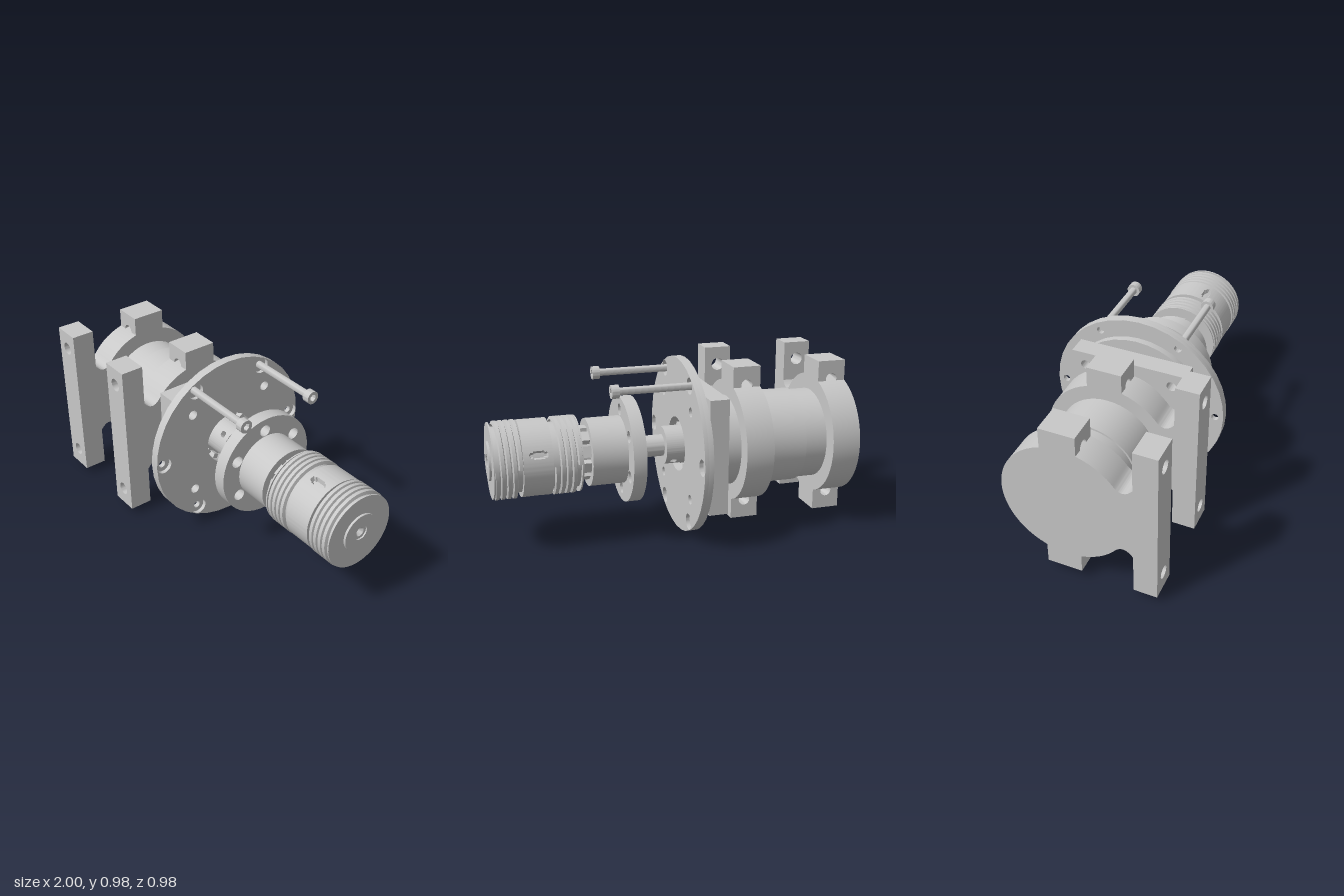
import * as THREE from 'three';
import { toCreasedNormals } from 'three/addons/utils/BufferGeometryUtils.js';

const steel = new THREE.MeshStandardMaterial({ color: 0xc8c8c8, side: THREE.DoubleSide });
steel.name = 'steelGrey';
const AXIS_Y = 0.49;

export function createModel() {
  const model = new THREE.Group();
  model.name = 'spindleDrive';
  // Everything is built around the shaft axis (local y = 0, z = 0)
  const body = new THREE.Group();
  body.name = 'assembly';
  body.position.y = AXIS_Y;
  model.add(body);

  const add = (name, geo, x = 0, y = 0, z = 0) => {
    const m = new THREE.Mesh(toCreasedNormals(geo, 0.6), steel);
    m.name = name;
    m.position.set(x, y, z);
    body.add(m);
    return m;
  };
  // Cylinder along x
  const rod = (name, x0, x1, r, y = 0, z = 0, seg = 48) =>
    add(name, new THREE.CylinderGeometry(r, r, x1 - x0, seg).rotateZ(-Math.PI / 2), (x0 + x1) / 2, y, z);
  // Shape in the (-z, y) plane extruded from x0 to x1
  const plate = (name, shape, x0, x1, y = 0, z = 0, seg = 18) =>
    add(name, new THREE.ExtrudeGeometry(shape, { depth: x1 - x0, bevelEnabled: false, curveSegments: seg })
      .rotateY(Math.PI / 2), x0, y, z);
  const disc = (r) => new THREE.Shape().absarc(0, 0, r, 0, Math.PI * 2);
  const rect = (x0, y0, x1, y1) => new THREE.Shape([[x0, y0], [x1, y0], [x1, y1], [x0, y1]]
    .map(([a, b]) => new THREE.Vector2(a, b)));
  const hole = (shape, u, v, r) => {
    shape.holes.push(new THREE.Path().absarc(u, v, r, 0, Math.PI * 2, true));
    return shape;
  };
  const holeRing = (shape, n, dist, r, start = 0) => {
    for (let i = 0; i < n; i++) {
      const a = start + (i / n) * Math.PI * 2;
      hole(shape, Math.cos(a) * dist, Math.sin(a) * dist, r);
    }
    return shape;
  };
  // Cylinder along x with oval pockets; angles run from up towards the front
  const pocketed = (name, x0, x1, r, xc, hx, hw, floor, degrees) => {
    const g = new THREE.CylinderGeometry(r, r, x1 - x0, 180, 30).rotateZ(-Math.PI / 2).translate((x0 + x1) / 2, 0, 0);
    const p = g.attributes.position;
    for (let i = 0; i < p.count; i++) {
      const a = Math.atan2(p.getZ(i), p.getY(i));
      for (const d of degrees) {
        const turn = a - THREE.MathUtils.degToRad(d);
        const da = Math.atan2(Math.sin(turn), Math.cos(turn));
        if (((p.getX(i) - xc) / hx) ** 2 + ((da * r) / hw) ** 2 < 1) {
          p.setY(i, Math.cos(a) * floor);
          p.setZ(i, Math.sin(a) * floor);
        }
      }
    }
    return add(name, g);
  };
  const lathe = (pts, seg = 64, start = 0) =>
    new THREE.LatheGeometry(pts.map(([r, x]) => new THREE.Vector2(r, x)), seg, start);

  // Motor barrel
  rod('motorBody', -0.99, -0.2, 0.253);
  rod('motorSleeve', -0.715, -0.42, 0.263);

  // Two mounting clamps: round body bridged to a front post, with ears above and below
  const ringAngle = Math.atan2(0.219, -0.26);
  const clampShape = new THREE.Shape();
  clampShape.moveTo(-0.375, -0.22);
  clampShape.lineTo(-0.363, -0.22);
  clampShape.quadraticCurveTo(-0.31, -0.15, -0.26, -0.219);
  clampShape.absarc(0, 0, 0.34, -ringAngle, ringAngle, false);
  clampShape.quadraticCurveTo(-0.31, 0.15, -0.363, 0.22);
  clampShape.lineTo(-0.375, 0.22);
  const alongZ = (name, shape, x, z0, z1) => add(name,
    new THREE.ExtrudeGeometry(shape, { depth: z1 - z0, bevelEnabled: false, curveSegments: 14 }), x, 0, z0);
  for (const [x0, x1] of [[-1, -0.84], [-0.492, -0.335]]) {
    const h = (x1 - x0) / 2, xc = (x0 + x1) / 2;
    plate('clampBody', clampShape, x0, x1, 0, 0, 24);
    const post = rect(-h, -0.45, h, 0.45);
    for (const s of [1, -1]) {
      hole(post, 0, s * 0.348, 0.036);
      const ear = s > 0 ? rect(-h, 0.27, h, 0.437) : rect(-h, -0.437, h, -0.27);
      alongZ('clampEar', hole(ear, 0, s * 0.333, 0.032), xc, -0.11, 0.08);
    }
    alongZ('clampPost', post, xc, 0.363, 0.49);
  }

  // Square motor flange, spigot disc and counterbored mounting disc
  const Q = Math.PI / 4, corner = 0.346;
  plate('motorFlange', holeRing(rect(-0.32, -0.32, 0.32, 0.32), 4, corner, 0.027, Q), -0.237, -0.13);
  const base = (r) => holeRing(hole(disc(r), 0, 0, 0.152), 4, corner, 0.027, Q);
  plate('spigotDisc', base(0.39), -0.13, -0.095);
  plate('mountingDisc', holeRing(base(0.488), 6, 0.441, 0.02), -0.095, -0.068);
  plate('mountingDiscFace', holeRing(base(0.488), 6, 0.441, 0.045), -0.068, -0.046);
  for (let i = 0; i < 12; i++) {
    const a = (i / 12) * Math.PI * 2;
    const t = add('boreTooth', new THREE.BoxGeometry(0.045, 0.03, 0.03), -0.108, Math.cos(a) * 0.139, Math.sin(a) * 0.139);
    t.rotation.x = a;
  }

  // Two long socket bolts
  const hex = new THREE.Path();
  for (let i = 0; i < 6; i++) {
    const a = -i * Math.PI / 3 + Math.PI / 6;
    hex[i ? 'lineTo' : 'moveTo'](Math.cos(a) * 0.02, Math.sin(a) * 0.02);
  }
  hex.closePath();
  const headShape = disc(0.036);
  headShape.holes.push(hex);
  for (const z of [0.2205, -0.2205]) {
    rod('boltShank', -0.07, 0.34, 0.02, 0.382, z, 24);
    rod('boltHeadBase', 0.337, 0.35, 0.036, 0.382, z, 36);
    plate('boltHead', headShape, 0.35, 0.377, 0.382, z);
  }

  // Coupler and shaft
  pocketed('shaftCoupler', -0.13, 0.04, 0.105, -0.005, 0.015, 0.015, 0.075, [45, 135, 225]);
  rod('shaft', 0.03, 0.21, 0.06);

  // Drilled hub flange, barrel and slotted neck
  plate('hubFlange', holeRing(disc(0.29), 6, 0.22, 0.033, 1.63), 0.203, 0.275, 0, 0, 24);
  rod('hubBarrel', 0.27, 0.467, 0.185);
  rod('neckCore', 0.45, 0.53, 0.115);
  for (let i = 0; i < 10; i++) {
    const a = (i / 10) * Math.PI * 2;
    const t = add('neckTooth', new THREE.BoxGeometry(0.07, 0.04, 0.06), 0.493, Math.cos(a) * 0.125, Math.sin(a) * 0.125);
    t.rotation.x = a;
  }

  // Threaded head: core with end boss and centre drill
  add('headCore', lathe([[0, 0.522], [0.207, 0.522], [0.207, 0.53], [0.18, 0.53], [0.18, 0.98], [0.205, 0.98],
    [0.205, 0.988], [0.105, 0.988], [0.105, 1], [0.04, 1], [0.04, 0.992], [0.025, 0.992], [0, 0.955]])
    .rotateZ(-Math.PI / 2));
  // Helical thread: a broad lathed ridge advanced by one pitch per turn
  const thread = (x0, pitch, turns) => {
    const pts = [], seg = 72;
    for (let i = 0; i < turns; i++) {
      for (const [r, t] of [[0.193, 0], [0.21, 0.17], [0.21, 0.75], [0.193, 0.92]]) {
        pts.push([r, x0 + (i + t) * pitch]);
      }
    }
    const g = lathe(pts, seg, Math.PI);
    const p = g.attributes.position;
    for (let i = 0; i < p.count; i++) {
      p.setY(i, p.getY(i) + pitch * Math.floor(i / pts.length) / seg);
    }
    add('thread', g.rotateZ(-Math.PI / 2));
  };
  thread(0.522, 0.031, 4);
  thread(0.833, 0.031, 4);
  pocketed('headCollar', 0.68, 0.836, 0.207, 0.755, 0.048, 0.018, 0.181, [20, 200, 290]);

  return model;
}
